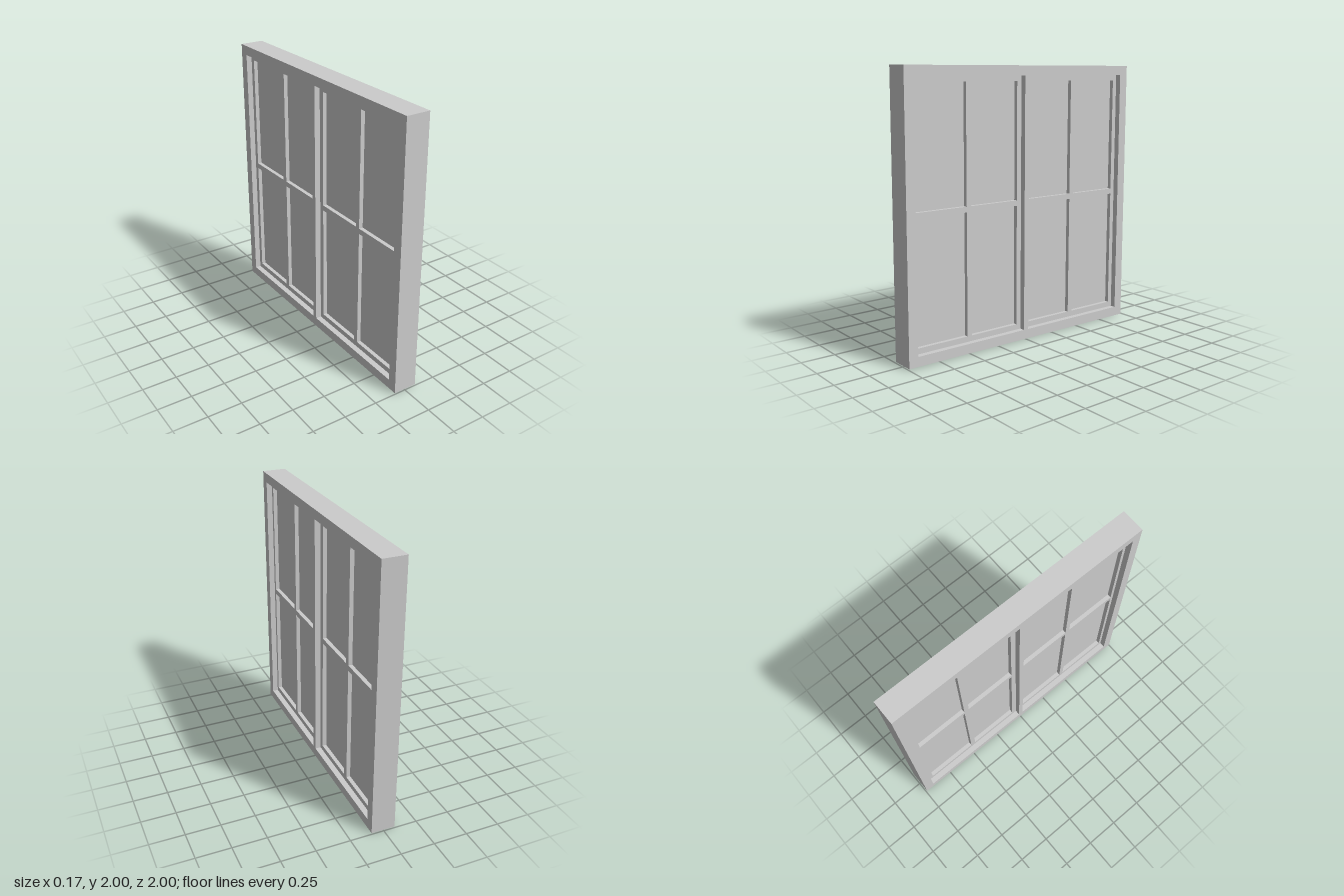
import * as THREE from 'three';

const material = new THREE.MeshStandardMaterial({ color: 0xcccccc, flatShading: true });

// Box given by its thickness in x and its extents across (u = -z) and up (v)
function board(name, thickness, u0, u1, v0, v1) {
  const mesh = new THREE.Mesh(new THREE.BoxGeometry(thickness, v1 - v0, u1 - u0), material);
  mesh.position.set(0, (v0 + v1) / 2, -(u0 + u1) / 2);
  mesh.name = name;
  return mesh;
}

function rectangle(path, u0, u1, v0, v1) {
  path.moveTo(u0, v0);
  path.lineTo(u1, v0);
  path.lineTo(u1, v1);
  path.lineTo(u0, v1);
  path.closePath();
  return path;
}

// Sash with four openings, cut from one sheet, and a thin pane behind its bars
function sash(name, u0, u1, v0, v1, columns, rows) {
  const group = new THREE.Group();
  group.name = name;
  const thickness = 0.09;
  const shape = rectangle(new THREE.Shape(), u0, u1, v0, v1);
  for (const [a, b] of columns)
    for (const [c, d] of rows) shape.holes.push(rectangle(new THREE.Path(), a, b, c, d));
  const geometry = new THREE.ExtrudeGeometry(shape, { depth: thickness, bevelEnabled: false });
  geometry.translate(0, 0, -thickness / 2);
  geometry.rotateY(Math.PI / 2);
  const bars = new THREE.Mesh(geometry, material);
  bars.name = name + 'Bars';
  const pane = board(name + 'Pane', 0.03, u0 + 0.01, u1 - 0.01, v0 + 0.01, v1 - 0.01);
  group.add(bars, pane);
  return group;
}

export function createModel() {
  const model = new THREE.Group();
  const windowGroup = new THREE.Group();
  windowGroup.name = 'window';
  const depth = 0.175, outer = 0.995, inner = 0.925;

  // Outer frame: rails run the full width, stiles and centre post stand between them
  const frame = new THREE.Group();
  frame.name = 'outerFrame';
  frame.add(
    board('topRail', depth, -outer, outer, inner, outer),
    board('bottomRail', depth, -outer, outer, -outer, -inner),
    board('frontStile', depth, -outer, -inner, -inner, inner),
    board('backStile', depth, inner, outer, -inner, inner),
    board('centrePost', depth, -0.017, 0.02, -inner, inner)
  );

  // Two recessed sashes, each with four panes
  const rows = [[-0.885, 0], [0.04, 0.885]];
  windowGroup.add(
    frame,
    sash('frontSash', -inner, -0.017, -inner, inner, [[-0.9, -0.493], [-0.456, -0.055]], rows),
    sash('backSash', 0.02, inner, -inner, inner, [[0.06, 0.453], [0.492, 0.89]], rows)
  );

  // The whole window leans very slightly
  windowGroup.rotation.x = -0.005;
  windowGroup.position.y = 1;
  model.add(windowGroup);
  return model;
}
